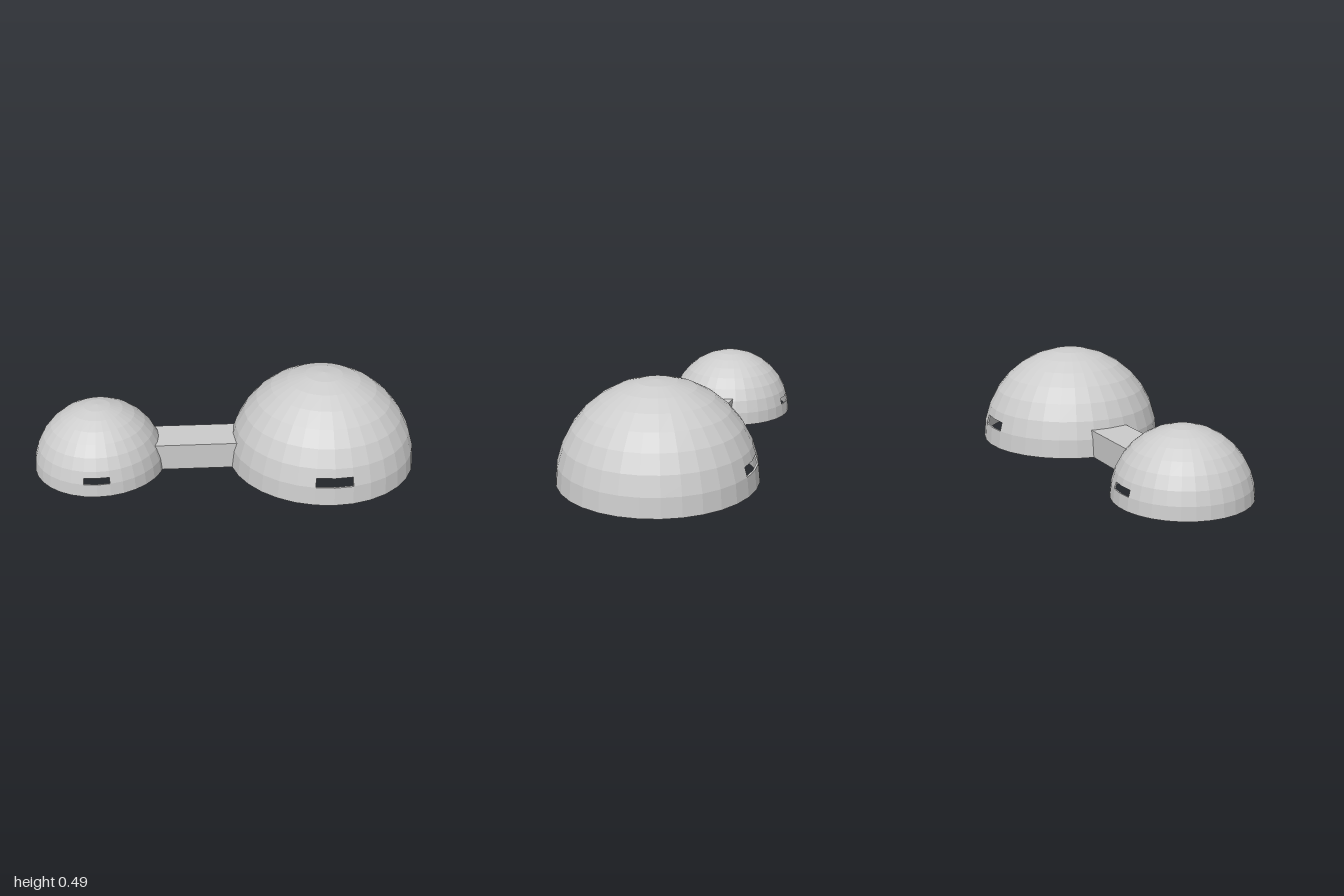
import * as THREE from 'three';

const SIDES = 32;

// Hollow faceted half sphere, open below, with a slot through the front and back wall
function domeGeometry(radius) {
  const step = (2 * Math.PI) / SIDES;
  const profile = [];
  for (let i = 0; i <= 8; i++) {
    profile.push([Math.cos(i * step), Math.sin(i * step)]);
  }
  profile[8][0] = 0;
  // extra ring halfway up the second band: the slot's upper edge
  profile.splice(2, 0, [
    (profile[1][0] + profile[2][0]) / 2,
    (profile[1][1] + profile[2][1]) / 2,
  ]);

  const point = (scale) => (i, j) => {
    const [r, y] = profile[i];
    const s = radius * scale;
    return [r * s * Math.sin(j * step), y * radius * (i === 0 ? 1 : scale), r * s * Math.cos(j * step)];
  };
  const outer = point(1);
  const inner = point(0.98);

  // slot edges stay level through the wall
  const level = (i, j) => {
    const p = inner(i, j);
    if (i === 1 || i === 2) p[1] = outer(i, j)[1];
    return p;
  };

  const positions = [];
  const quad = (a, b, c, d) => {
    positions.push(...a, ...b, ...c);
    if (Math.hypot(c[0] - d[0], c[1] - d[1], c[2] - d[2]) > 1e-6) positions.push(...a, ...c, ...d);
  };
  // same quad wound for the inside; the pole collapses to one triangle
  const innerQuad = (i, j) => {
    const a = level(i, j), b = level(i, j + 1), c = level(i + 1, j + 1), d = level(i + 1, j);
    positions.push(...a, ...c, ...b);
    if (i < profile.length - 2) positions.push(...a, ...d, ...c);
  };

  const half = SIDES / 2;
  for (let j = 0; j < SIDES; j++) {
    const slotStart = j === SIDES - 1 || j === half - 1;
    const slotEnd = j === 0 || j === half;
    for (let i = 0; i < profile.length - 1; i++) {
      if (i === 1 && (slotStart || slotEnd)) continue;
      quad(outer(i, j), outer(i, j + 1), outer(i + 1, j + 1), outer(i + 1, j));
      innerQuad(i, j);
    }
    // bottom rim
    quad(outer(0, j), level(0, j), level(0, j + 1), outer(0, j + 1));
    // slot sill, lintel and jambs
    if (slotStart || slotEnd) {
      quad(outer(1, j), outer(1, j + 1), level(1, j + 1), level(1, j));
      quad(outer(2, j), level(2, j), level(2, j + 1), outer(2, j + 1));
    }
    if (slotStart) quad(outer(1, j), level(1, j), level(2, j), outer(2, j));
    if (slotEnd) quad(outer(1, j + 1), outer(2, j + 1), level(2, j + 1), level(1, j + 1));
  }

  const geometry = new THREE.BufferGeometry();
  geometry.setAttribute('position', new THREE.Float32BufferAttribute(positions, 3));
  geometry.computeVertexNormals();
  return geometry;
}

export function createModel() {
  const group = new THREE.Group();
  group.name = 'twinDomeShelter';
  const grey = new THREE.MeshStandardMaterial({ color: 0xcccccc });
  grey.name = 'light grey';

  const add = (name, geometry, x, y = 0) => {
    const mesh = new THREE.Mesh(geometry, grey);
    mesh.name = name;
    mesh.position.set(x, y, 0);
    group.add(mesh);
  };

  add('largeDome', domeGeometry(0.49), 0.51);
  add('smallDome', domeGeometry(0.342), -0.658);

  // solid passage whose ends reach just inside both domes
  const x0 = -0.39, x1 = 0.073, height = 0.143;
  add('passage', new THREE.BoxGeometry(x1 - x0, height, 0.208), (x0 + x1) / 2, height / 2);

  return group;
}
